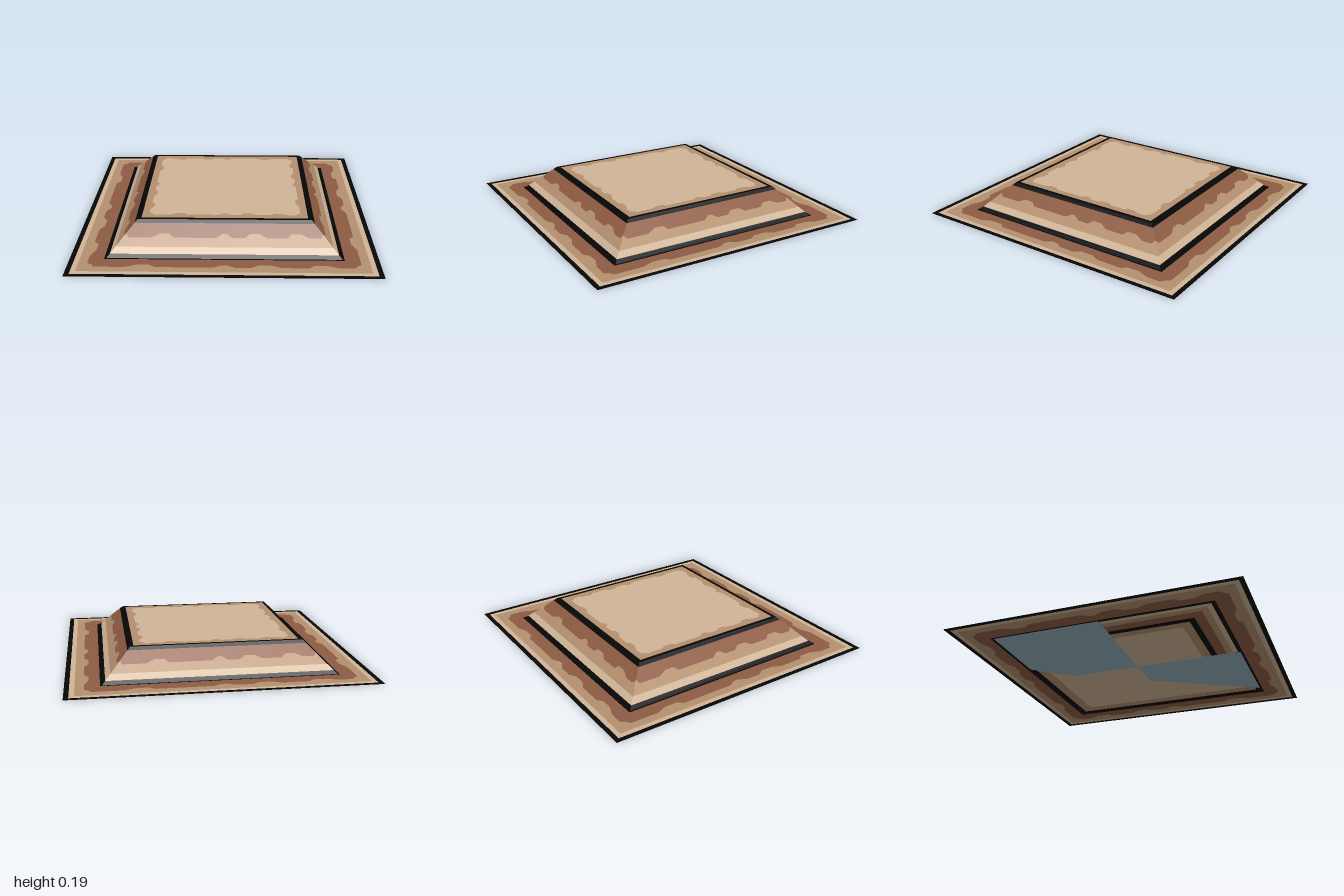
import * as THREE from 'three';

const BASE = 0.765, TOP = 0.575, HEIGHT = 0.19;

const paint = (name, color, side = THREE.FrontSide) => {
  const m = new THREE.MeshStandardMaterial({ color, side });
  m.name = name;
  return m;
};

// Height of the stepped surface at a square half-width r
const heightAt = r => Math.min(HEIGHT, Math.max(0, BASE - r));

// Flat-topped ripples along an edge: [start, end] as fractions of the half-width, plus cut corners
const RIPPLES = [[-0.72, -0.5], [-0.08, 0.08], [0.2, 0.42], [0.62, 0.84]];
function ripple(t) {
  let v = Math.max(0, (Math.abs(t) - 0.95) / 0.05);
  for (const [a, b] of RIPPLES) {
    const d = Math.min(t - a, b - t) / 0.06;
    v = Math.max(v, Math.min(1, Math.max(0, d)));
  }
  return v;
}

// One square band between two half-widths, rippled inwards where asked
function squareBand(outer, inner, outerAmp, innerAmp) {
  const pos = [], n = outerAmp || innerAmp ? 100 : 1;
  const point = (t, r, amp) => {
    const w = r - amp * ripple(t);
    return new THREE.Vector3(t * w, heightAt(w), w);
  };
  const up = new THREE.Vector3(0, 1, 0);
  for (let side = 0; side < 4; side++) {
    for (let i = 0; i < n; i++) {
      const t0 = -1 + 2 * i / n, t1 = -1 + 2 * (i + 1) / n;
      const a = point(t0, outer, outerAmp), b = point(t1, outer, outerAmp);
      const c = point(t1, inner, innerAmp), d = point(t0, inner, innerAmp);
      for (const p of [a, b, c, a, c, d]) {
        pos.push(...p.clone().applyAxisAngle(up, side * Math.PI / 2).toArray());
      }
    }
  }
  const g = new THREE.BufferGeometry();
  g.setAttribute('position', new THREE.Float32BufferAttribute(pos, 3));
  g.computeVertexNormals();
  return g;
}

// Flat panel facing down, outlined by [x, z] corners
function underPanel(corners, y) {
  const shape = new THREE.Shape(corners.map(([x, z]) => new THREE.Vector2(x, z)));
  return new THREE.ShapeGeometry(shape).rotateX(Math.PI / 2).translate(0, y, 0);
}

// L-shaped band filling one quadrant between two half-widths
const cornerBand = (a, b, sx, sz) => (b > 0
  ? [[b, 0], [a, 0], [a, a], [0, a], [0, b], [b, b]]
  : [[0, 0], [a, 0], [a, a], [0, a]]).map(([x, z]) => [x * sx, z * sz]);

export function createModel() {
  const group = new THREE.Group();
  const black = paint('black edging', 0x060606, THREE.DoubleSide);
  const light = paint('light sand', 0xd0b598, THREE.DoubleSide);
  const mid = paint('tan', 0xb4906f, THREE.DoubleSide);
  const dark = paint('red brown', 0x8e5c43, THREE.DoubleSide);
  const slate = paint('slate blue', 0x93adb8);

  const add = (name, geometry, material, parent) => {
    const mesh = new THREE.Mesh(geometry, material);
    mesh.name = name;
    parent.add(mesh);
  };

  // Bands from the outside in: outer, inner, material, outer ripple, inner ripple
  const parts = {
    groundBorder: [
      [1, 0.968, black, 0, 0], [0.968, 0.935, light, 0, 0], [0.935, 0.877, mid, 0, 0.03],
      [0.877, 0.777, dark, 0.03, 0], [0.777, BASE, black, 0, 0],
    ],
    slopedSides: [
      [BASE, 0.744, black, 0, 0], [0.744, 0.71, light, 0, 0], [0.71, 0.665, mid, 0, 0.02],
      [0.665, 0.594, dark, 0.02, 0], [0.594, TOP, black, 0, 0],
    ],
    topPlatform: [
      [TOP, 0.552, black, 0, 0], [0.552, 0.505, mid, 0, 0.022], [0.505, 0, light, 0.022, 0],
    ],
  };
  for (const [name, bands] of Object.entries(parts)) {
    const part = new THREE.Group();
    part.name = name;
    group.add(part);
    for (const [o, i, mat, oa, ia] of bands) {
      add(`${name} ${mat.name}`, squareBand(o, i, oa, ia), mat, part);
    }
  }

  // Underside: a bordered panel in three quadrants
  const underside = new THREE.Group();
  underside.name = 'underside';
  group.add(underside);
  for (const [sx, sz] of [[1, -1], [1, 1], [-1, -1]]) {
    for (const [a, b, mat] of [[0.76, 0.725, black], [0.725, 0.65, mid], [0.65, 0, light]]) {
      add('bordered panel', underPanel(cornerBand(a, b, sx, sz), 0.004), mat, underside);
    }
  }
  // Fourth quadrant carries the nested bands
  for (const [a, b, mat] of [[0.76, 0.745, black], [0.745, 0.71, light], [0.71, 0.665, mid],
    [0.665, 0.595, dark], [0.595, 0.552, black], [0.552, 0.49, mid], [0.49, 0, light]]) {
    add('nested panel', underPanel(cornerBand(a, b, -1, 1), 0.004), mat, underside);
  }
  // Two plain slate patches
  add('slate patch', underPanel([[0, 0], [0, -0.5], [-0.22, -0.76], [-0.76, -0.76], [-0.76, 0]], 0.002), slate, underside);
  add('slate patch', underPanel([[0, 0], [0, 0.76], [0.7, 0.76], [0.27, 0]], 0.002), slate, underside);

  return group;
}
